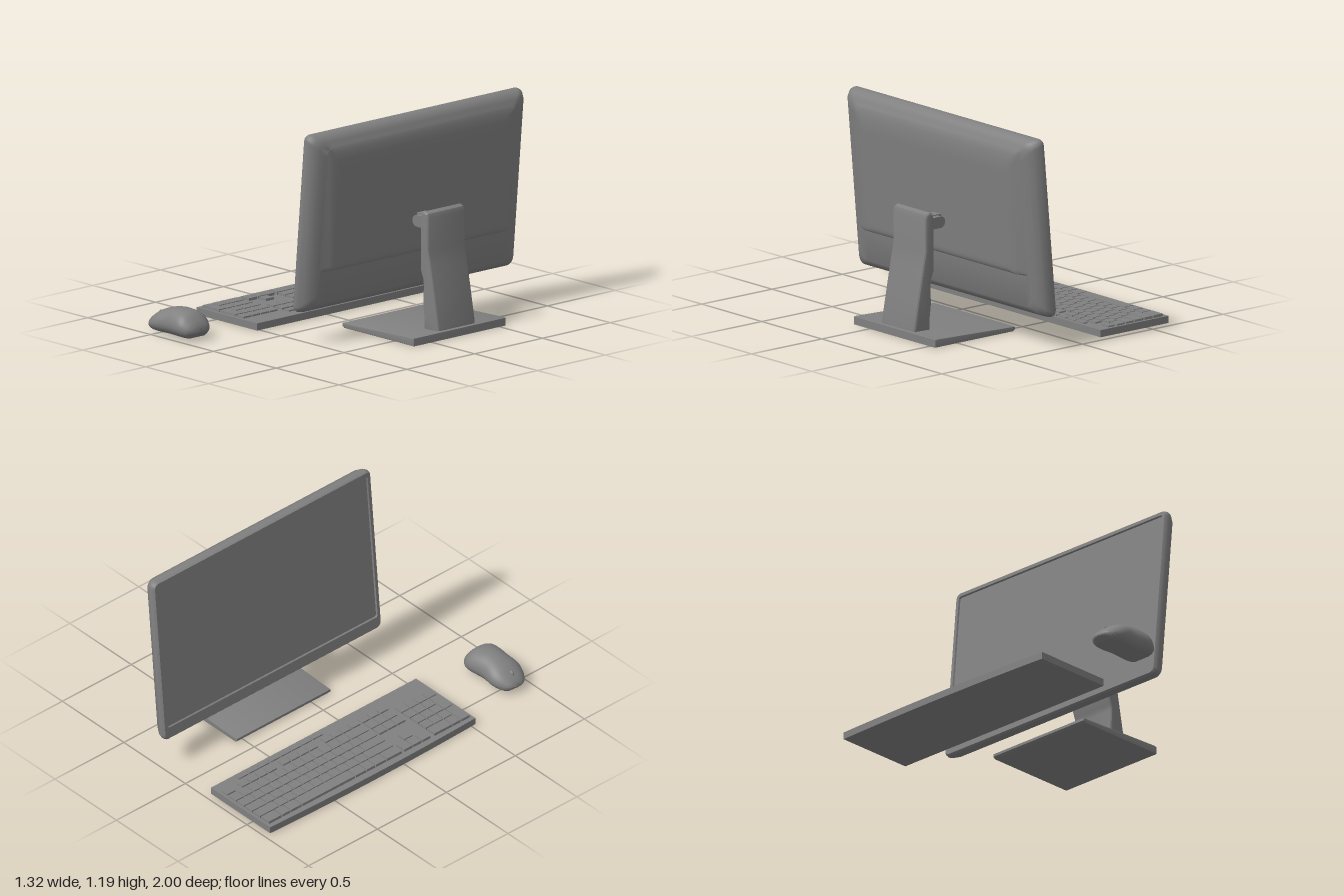
import * as THREE from 'three';
import { mergeGeometries, toCreasedNormals } from 'three/addons/utils/BufferGeometryUtils.js';

const darkGrey = new THREE.MeshStandardMaterial({ color: 0x808080 });
const CZ = -0.206; // centre of monitor and stand along z

function part(name, geometry, parent) {
  const mesh = new THREE.Mesh(geometry, darkGrey);
  mesh.name = name;
  parent.add(mesh);
  return mesh;
}

// Skin over closed rings that run y -> z and progress along +x, capped at both ends
function loft(rings, crease) {
  const n = rings[0].length, pos = [], idx = [];
  rings.forEach(r => r.forEach(p => pos.push(...p)));
  for (let i = 0; i < rings.length - 1; i++)
    for (let j = 0; j < n; j++) {
      const k = (j + 1) % n, a = i * n + j, b = i * n + k;
      idx.push(a, b, b + n, a, b + n, a + n);
    }
  const last = (rings.length - 1) * n;
  for (let j = 1; j < n - 1; j++) idx.push(0, j + 1, j, last, last + j, last + j + 1);
  const g = new THREE.BufferGeometry();
  g.setAttribute('position', new THREE.Float32BufferAttribute(pos, 3));
  g.setIndex(idx);
  return toCreasedNormals(g, crease);
}

// Rounded rectangle in the y-z plane; depth goes from wBottom to wTop
function roundedRing([wBottom, wTop, y0, y1, half, r]) {
  const pts = [], steps = 7;
  for (let q = 0; q < 4; q++)
    for (let s = 0; s <= steps; s++) {
      const a = (q + s / steps) * Math.PI / 2;
      const top = q === 0 || q === 3, plus = q < 2;
      const y = (top ? y1 - r : y0 + r) + r * Math.cos(a);
      const z = (plus ? half - r : r - half) + r * Math.sin(a);
      pts.push([wBottom + (wTop - wBottom) * (y - y0) / (y1 - y0), y, z]);
    }
  return pts;
}

// Side profile in x-y pushed along z, centred, with a small bevel
function extrudeProfile(points, width, bevel) {
  const shape = new THREE.Shape(points.map(p => new THREE.Vector2(...p)));
  const g = new THREE.ExtrudeGeometry(shape, {
    depth: width - 2 * bevel, bevelThickness: bevel, bevelSize: bevel,
    bevelOffset: -bevel, bevelSegments: 3, curveSegments: 10
  });
  g.translate(0, 0, bevel - width / 2);
  return toCreasedNormals(g, 0.5);
}

function buildMonitor() {
  const monitor = new THREE.Group();
  monitor.name = 'monitor';
  // depth at bottom, depth at top, bottom, top, half width, corner radius
  const rings = [
    [0.008, 0.008, 0.075, 0.972, 0.757, 0.012], // recessed screen
    [0.0, 0.0, 0.07, 0.977, 0.762, 0.015],
    [0.0, 0.0, 0.005, 0.997, 0.78, 0.03],       // bezel
    [0.01, 0.01, -0.004, 1.004, 0.788, 0.035],
    [0.025, 0.025, -0.005, 1.007, 0.792, 0.037],
    [0.045, 0.045, 0.0, 1.005, 0.789, 0.04],
    [0.072, 0.072, 0.012, 0.994, 0.773, 0.045],
    [0.093, 0.093, 0.032, 0.97, 0.743, 0.05],
    [0.105, 0.105, 0.054, 0.942, 0.705, 0.05],  // thin chin
    [0.107, 0.108, 0.235, 0.937, 0.695, 0.02],  // step out to the back cover
    [0.131, 0.117, 0.24, 0.91, 0.66, 0.025],
    [0.138, 0.125, 0.248, 0.87, 0.625, 0.03],
    [0.142, 0.129, 0.265, 0.82, 0.59, 0.03],
    [0.1415, 0.1295, 0.285, 0.8, 0.57, 0.03]    // flat middle of the back
  ];
  part('monitorHousing', loft(rings.map(roundedRing), 0.6), monitor);
  monitor.position.set(0.174, 0.185, CZ);
  monitor.rotation.z = -0.0915;
  return monitor;
}

function buildStand() {
  const stand = new THREE.Group();
  stand.name = 'stand';
  stand.position.z = CZ;
  part('standBase', extrudeProfile(
    [[0.09, 0.01], [0.105, 0], [0.66, 0], [0.66, 0.043], [0.64, 0.045], [0.09, 0.025]], 0.68, 0.003), stand);
  part('standColumn', extrudeProfile(
    [[0.52, 0.03], [0.638, 0.03], [0.637, 0.06], [0.607, 0.22], [0.575, 0.39], [0.557, 0.475],
      [0.556, 0.66], [0.549, 0.683], [0.526, 0.694], [0.503, 0.685], [0.494, 0.66], [0.492, 0.36],
      [0.51, 0.315], [0.515, 0.28], [0.51, 0.18], [0.519, 0.11]], 0.28, 0.016), stand);

  // Round-ended cheeks on the column hold a tongue fixed to the monitor
  const cheek = new THREE.Shape();
  cheek.moveTo(0.5, 0.574);
  cheek.lineTo(0.5, 0.638);
  cheek.lineTo(0.395, 0.638);
  cheek.absarc(0.395, 0.606, 0.032, Math.PI / 2, Math.PI * 1.5, false);
  for (const side of [-1, 1]) {
    const g = new THREE.ExtrudeGeometry(cheek, { depth: 0.03, bevelEnabled: false });
    part('hingeCheek', g, stand).position.z = side * 0.06 - 0.015;
  }
  part('hingeTongue', new THREE.BoxGeometry(0.14, 0.064, 0.06), stand).position.set(0.4, 0.606, 0);
  const pin = part('hingePin', new THREE.CylinderGeometry(0.015, 0.015, 0.15, 20), stand);
  pin.rotation.x = Math.PI / 2;
  pin.position.set(0.395, 0.606, 0);
  return stand;
}

// A keycap between x0..x1 and z0..z1 with a slightly smaller top; far rows sit lower
function keycap(x0, x1, z0, z1) {
  const gap = 0.004, x = (x0 + x1) / 2;
  const g = new THREE.BoxGeometry(x1 - x0 - gap, 0.02, z1 - z0 - gap);
  const p = g.attributes.position;
  for (let i = 0; i < p.count; i++)
    if (p.getY(i) > 0) {
      p.setX(i, p.getX(i) - Math.sign(p.getX(i)) * 0.002);
      p.setZ(i, p.getZ(i) - Math.sign(p.getZ(i)) * 0.002);
    }
  g.translate(x, 0.048 - 0.02 * (x + 0.6), (z0 + z1) / 2);
  g.computeVertexNormals();
  return g;
}

function buildKeyboard() {
  const keyboard = new THREE.Group();
  keyboard.name = 'keyboard';
  keyboard.position.z = 0.004;
  // Plate with a gently bowed near edge
  const plan = new THREE.Shape();
  plan.moveTo(-0.163, -0.523);
  plan.lineTo(-0.163, 0.965);
  plan.lineTo(-0.645, 0.965);
  plan.quadraticCurveTo(-0.675, 0.22, -0.645, -0.523);
  const plate = new THREE.ExtrudeGeometry(plan, { depth: 0.04, bevelEnabled: false, curveSegments: 24 });
  plate.rotateX(-Math.PI / 2).translate(0, 0.003, 0);
  part('keyboardPlate', plate, keyboard);

  const X0 = -0.615, ROW = 0.0655, U = 0.0647;
  const ones = n => Array(n).fill(1);
  const row = (x0, x1, z, widths, unit) => widths.map(w => {
    const key = keycap(x0, x1, z, z + w * unit);
    z += w * unit;
    return key;
  });
  // The nearest row is a little deeper than the others
  const at = r => [X0 + r * ROW - (r === 0 ? 0.006 : 0), X0 + (r + 1) * ROW];
  const block = (name, keys) => part(name, mergeGeometries(keys.flat()), keyboard);

  block('mainKeys', [
    [1.5, 1, 1.25, 6, 1.25, 1, 1.25, 1.75],
    [2.25, ...ones(10), 2.75],
    [1.75, ...ones(11), 2.25],
    [1.5, ...ones(12), 1.5],
    [...ones(13), 2]
  ].map((widths, r) => row(...at(r), -0.953, widths, U)));

  const F = [-0.28, -0.23];
  block('functionKeys', [
    row(...F, -0.95, [1], U),
    ...[-0.842, -0.545, -0.238].map(z => row(...F, z, ones(4), U)),
    row(...F, 0.03, ones(3), U)
  ]);
  block('mediaKeys', [row(-0.213, -0.178, -0.805, ones(8), 0.0765)]);
  block('navigationKeys', [
    row(...at(0), 0.03, ones(3), U), row(...at(1), 0.03 + U, [1], U),
    row(...at(3), 0.03, ones(3), U), row(...at(4), 0.03, ones(3), U)
  ]);
  const padEnd = 0.249 + 3 * U;
  block('numberPad', [
    row(...at(0), 0.249, [2, 1], U),
    ...[1, 2, 3].map(r => row(...at(r), 0.249, ones(3), U)),
    row(...at(4), 0.249, ones(4), U),
    ...[0, 2].map(r => row(at(r)[0], at(r + 1)[1], padEnd, [1], U))
  ]);
  return keyboard;
}

function buildMouse() {
  const mouse = new THREE.Group();
  mouse.name = 'mouse';
  mouse.position.z = 0.892;
  // Stations: x, half width, top height
  const stations = [
    [-0.587, 0.02, 0.05], [-0.575, 0.05, 0.07], [-0.54, 0.083, 0.1], [-0.48, 0.104, 0.135],
    [-0.40, 0.097, 0.157], [-0.34, 0.103, 0.159], [-0.28, 0.106, 0.147], [-0.238, 0.085, 0.113],
    [-0.219, 0.06, 0.085], [-0.212, 0.03, 0.062]
  ].map(s => new THREE.Vector3(...s));
  const rings = new THREE.CatmullRomCurve3(stations).getPoints(36).map(({ x, y: half, z: top }) => {
    const end = Math.min(x + 0.587, -0.212 - x);
    const bottom = 0.015 + 0.028 * Math.max(0, 1 - end / 0.035);
    const mid = bottom + (top - bottom) * 0.4;
    return Array.from({ length: 32 }, (_, j) => {
      const a = j / 32 * Math.PI * 2, c = Math.cos(a), s = Math.sin(a);
      const y = c > 0 ? mid + c * (top - mid) : Math.max(bottom, mid + c * (mid - bottom) * 1.25);
      return [x, y, Math.sign(s) * Math.abs(s) ** 0.9 * half];
    });
  });
  part('mouseBody', loft(rings, 0.9), mouse);
  const wheel = part('scrollWheel', new THREE.CapsuleGeometry(0.02, 0.001, 6, 20), mouse);
  wheel.rotation.x = Math.PI / 2;
  wheel.scale.set(1, 0.5, 1);
  wheel.position.set(-0.527, 0.097, 0);
  return mouse;
}

export function createModel() {
  const model = new THREE.Group();
  model.name = 'desktopComputer';
  model.add(buildMonitor(), buildStand(), buildKeyboard(), buildMouse());
  return model;
}
